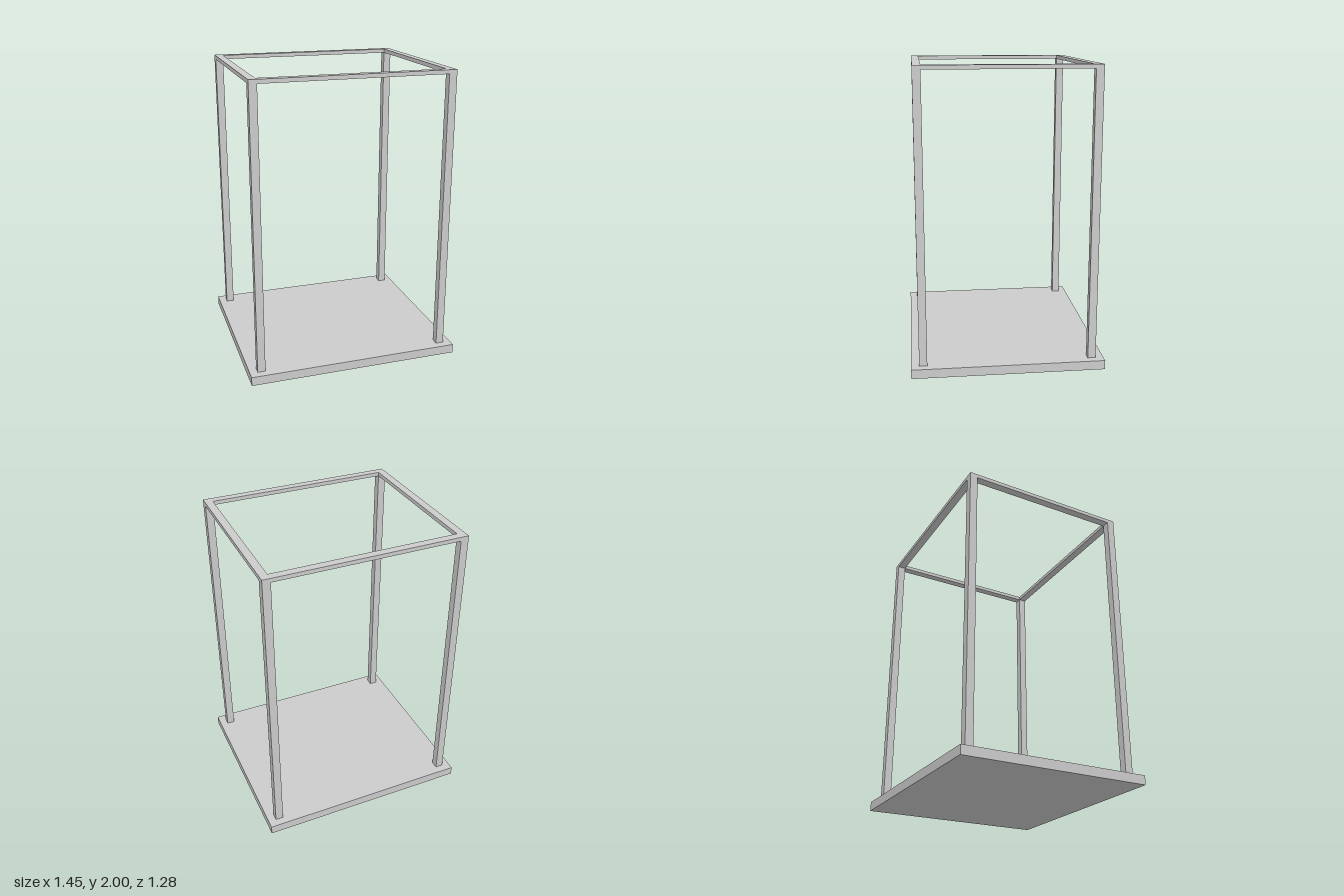
import * as THREE from 'three';

const material = new THREE.MeshStandardMaterial({ color: 0xcccccc, flatShading: true });

const BASE = { x: 0.727, z: 0.641, h: 0.062 }; // half sizes and height
const OUTER = { x: 0.674, z: 0.588 };          // outer half sizes of the frame
const POST = 0.053;                            // post and rail width
const RAIL_Y = 1.973;                          // underside of the top frame
const TOP = 2;

function rectangle(PathType, x, z) {
  return new PathType([
    new THREE.Vector2(-x, -z), new THREE.Vector2(x, -z),
    new THREE.Vector2(x, z), new THREE.Vector2(-x, z),
  ]);
}

export function createModel() {
  const model = new THREE.Group();
  model.name = 'openFrame';

  function add(name, geometry, x = 0, y = 0, z = 0) {
    const mesh = new THREE.Mesh(geometry, material);
    mesh.name = name;
    mesh.position.set(x, y, z);
    model.add(mesh);
  }

  // Base slab
  add('base', new THREE.BoxGeometry(BASE.x * 2, BASE.h, BASE.z * 2), 0, BASE.h / 2, 0);

  // Four corner posts
  const height = RAIL_Y - BASE.h;
  const post = new THREE.BoxGeometry(POST, height, POST);
  for (const [sx, side] of [[1, 'Left'], [-1, 'Right']]) {
    for (const [sz, end] of [[1, 'front'], [-1, 'back']]) {
      add(`${end}${side}Post`, post,
        sx * (OUTER.x - POST / 2), BASE.h + height / 2, sz * (OUTER.z - POST / 2));
    }
  }

  // Thin rectangular frame joining the posts at the top
  const outline = rectangle(THREE.Shape, OUTER.x, OUTER.z);
  outline.holes.push(rectangle(THREE.Path, OUTER.x - POST, OUTER.z - POST));
  const frame = new THREE.ExtrudeGeometry(outline, { depth: TOP - RAIL_Y, bevelEnabled: false });
  frame.rotateX(-Math.PI / 2);
  add('topFrame', frame, 0, RAIL_Y, 0);

  return model;
}
